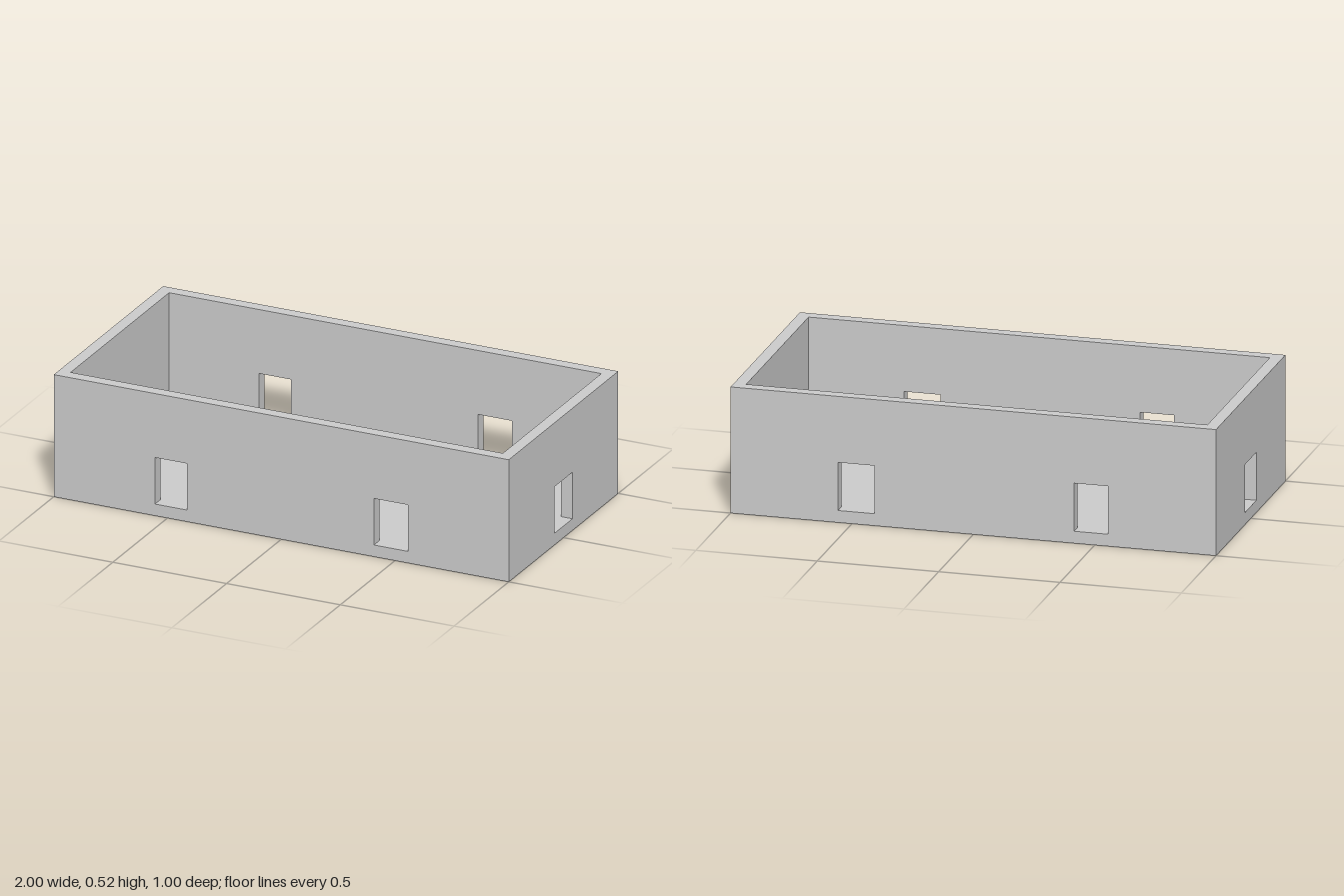
import * as THREE from 'three';

const LENGTH = 2, WIDTH = 1, HEIGHT = 0.525;
const WALL = 0.05, FLOOR = 0.05, DOOR_TOP = 0.25;

// Wall standing on the floor slab, centred on its own thickness,
// with doorways given as [start, end] along its length
function wallGeometry(length, doors) {
  const h = length / 2;
  const shape = new THREE.Shape();
  shape.moveTo(-h, FLOOR);
  for (const [a, b] of doors) {
    shape.lineTo(a, FLOOR);
    shape.lineTo(a, DOOR_TOP);
    shape.lineTo(b, DOOR_TOP);
    shape.lineTo(b, FLOOR);
  }
  shape.lineTo(h, FLOOR);
  shape.lineTo(h, HEIGHT);
  shape.lineTo(-h, HEIGHT);
  shape.closePath();
  return new THREE.ExtrudeGeometry(shape, { depth: WALL, bevelEnabled: false })
    .translate(0, 0, -WALL / 2);
}

export function createModel() {
  const group = new THREE.Group();
  group.name = 'openBuilding';
  const material = new THREE.MeshStandardMaterial({ color: 0xcccccc, flatShading: true });

  const add = (name, geometry, x, y, z, turn = 0) => {
    const mesh = new THREE.Mesh(geometry, material);
    mesh.name = name;
    mesh.position.set(x, y, z);
    mesh.rotation.y = turn;
    group.add(mesh);
  };

  // Floor slab
  add('floor', new THREE.BoxGeometry(LENGTH, FLOOR, WIDTH), 0, FLOOR / 2, 0);

  // Long walls, two doorways each
  const longWall = wallGeometry(LENGTH, [[-0.555, -0.415], [0.407, 0.557]]);
  const zWall = (WIDTH - WALL) / 2;
  add('frontWall', longWall, 0, 0, zWall);
  add('backWall', longWall, 0, 0, -zWall);

  // End walls between the long ones, one doorway each
  const endWall = wallGeometry(WIDTH - 2 * WALL, [[-0.082, 0.082]]);
  const xWall = (LENGTH - WALL) / 2;
  add('leftWall', endWall, xWall, 0, 0, Math.PI / 2);
  add('rightWall', endWall, -xWall, 0, 0, Math.PI / 2);

  return group;
}
